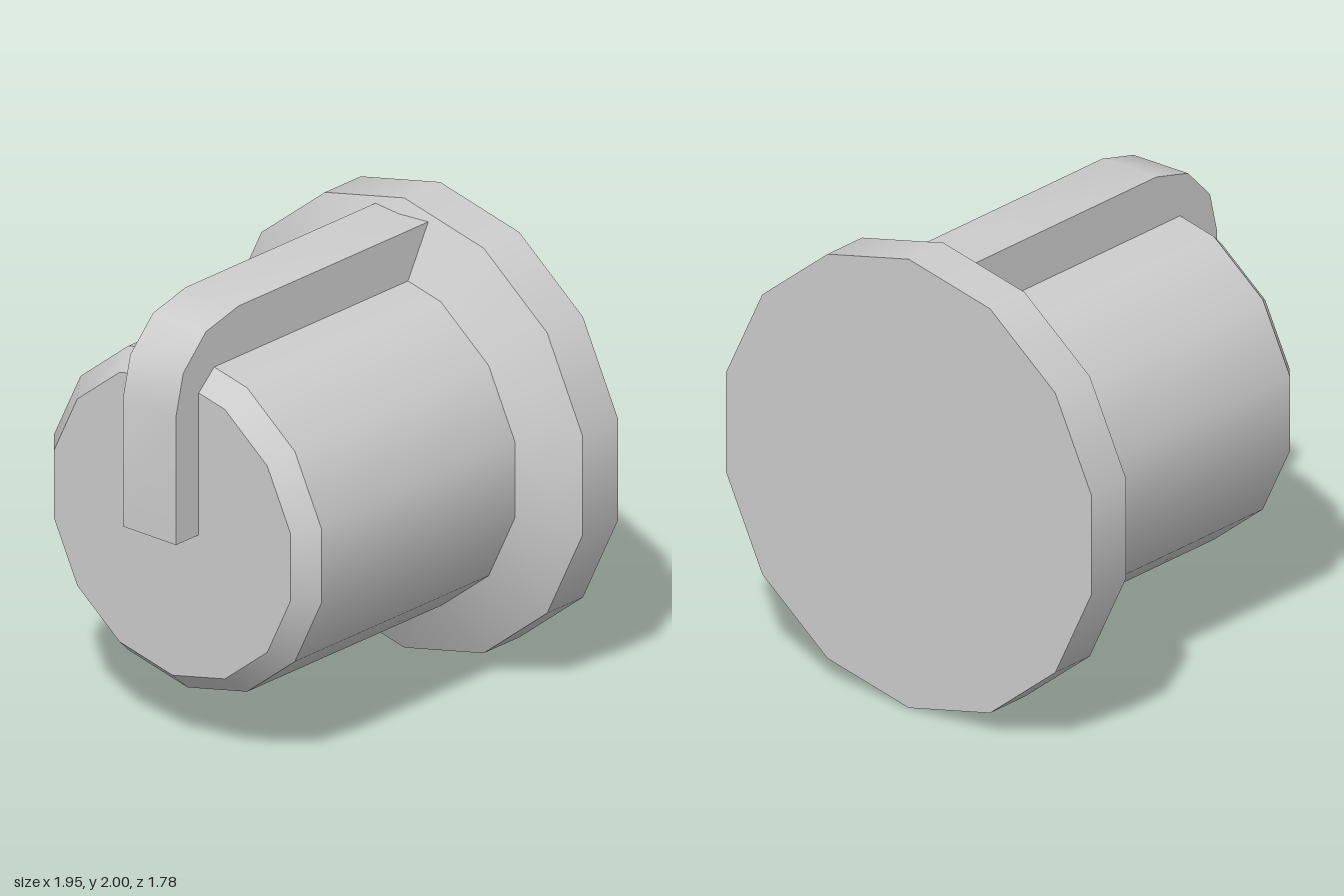
import * as THREE from 'three';
import { toCreasedNormals } from 'three/addons/utils/BufferGeometryUtils.js';

const SIDES = 14;

export function createModel() {
  const group = new THREE.Group();
  const grey = new THREE.MeshStandardMaterial({ color: 0xcccccc });
  grey.name = 'grey';

  const add = (name, geometry) => {
    const mesh = new THREE.Mesh(geometry, grey);
    mesh.name = name;
    group.add(mesh);
  };

  // Round bands along z, smooth around and sharp where they meet
  const bands = [
    ['flange', -0.89, 1, -0.67, 1],
    ['flangeTaper', -0.67, 1, -0.53, 0.75],
    ['barrel', -0.53, 0.75, 0.66, 0.75],
    ['frontBevel', 0.66, 0.75, 0.755, 0.665],
  ];
  for (const [name, z0, r0, z1, r1] of bands) {
    const band = new THREE.CylinderGeometry(r1, r0, z1 - z0, SIDES, 1, true);
    band.rotateX(Math.PI / 2).translate(0, 1, (z0 + z1) / 2);
    add(name, band);
  }

  // Flat end faces
  const cap = (radius) => new THREE.CircleGeometry(radius, SIDES, Math.PI / 2);
  add('frontFace', cap(0.665).translate(0, 1, 0.755));
  add('backFace', cap(1).rotateY(Math.PI).translate(0, 1, -0.89));

  // Bent pointer rib, drawn as (z, y) and sunk into the barrel and flange
  const rib = new THREE.Shape([
    [0.895, 1], [0.895, 1.57], [0.85, 1.75], [0.71, 1.89], [0.51, 1.94],
    [-0.7, 1.94], [-0.7, 1.6], [0.6, 1.6], [0.6, 1],
  ].map(([z, y]) => new THREE.Vector2(z, y)));
  const ribGeometry = new THREE.ExtrudeGeometry(rib, { depth: 0.29, bevelEnabled: false });
  ribGeometry.translate(0, 0, -0.145).rotateY(-Math.PI / 2);
  add('pointerRib', toCreasedNormals(ribGeometry, 0.7));

  return group;
}
